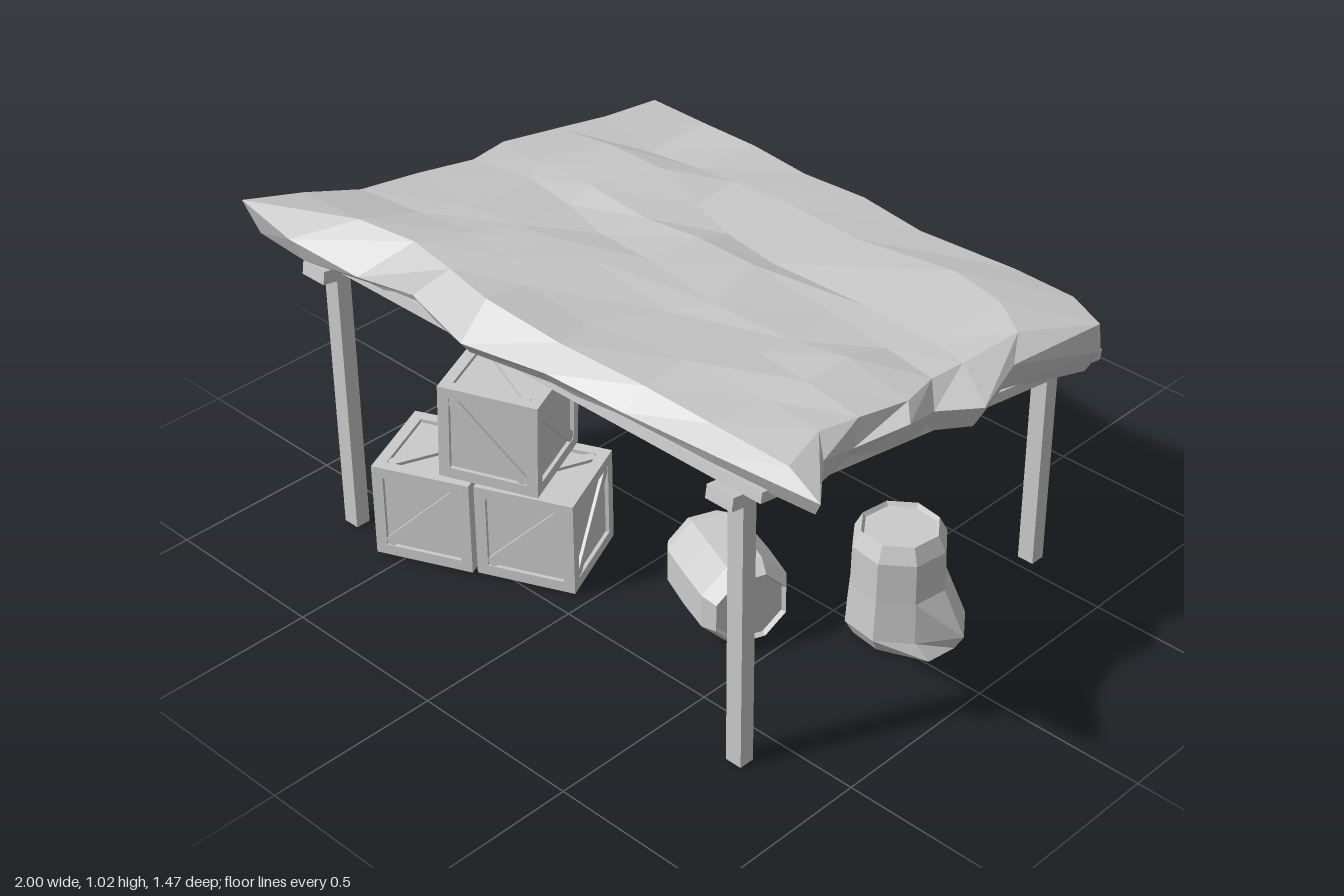
import * as THREE from 'three';

const mat = new THREE.MeshStandardMaterial({ color: 0xcccccc, flatShading: true });
const clothMat = new THREE.MeshStandardMaterial({ color: 0xcccccc, flatShading: true, side: THREE.DoubleSide });

const SLOPE = 0.163; // roof rises towards the front
const roofY = (z) => 0.74 + SLOPE * z;

function mesh(name, geometry, x = 0, y = 0, z = 0, material = mat) {
  const m = new THREE.Mesh(geometry, material);
  m.name = name;
  m.position.set(x, y, z);
  return m;
}
const box = (name, w, h, d, x, y, z) => mesh(name, new THREE.BoxGeometry(w, h, d), x, y, z);

// Cloth rims [x, z, y], counter-clockwise from the front left corner:
// 8 steps along front, 7 right, 8 back, 7 left
const NX = 8, NZ = 7;
const hem = [
  [-1, .70, .955], [-.77, .73, .94], [-.55, .69, .90], [-.38, .65, .90], [-.11, .73, .91], [.15, .69, .92], [.38, .66, .90], [.68, .66, .92],
  [1, .645, .93], [.88, .50, .92], [.85, .36, .87], [.89, .20, .88], [.85, .06, .83], [.92, -.05, .82], [.85, -.25, .82],
  [.88, -.58, .72], [.76, -.65, .73], [.55, -.68, .70], [.20, -.65, .71], [0, -.685, .70], [-.22, -.70, .72], [-.40, -.70, .70], [-.65, -.735, .71],
  [-.86, -.69, .72], [-.84, -.45, .79], [-.88, -.25, .80], [-.89, -.08, .82], [-.83, .05, .86], [-.85, .25, .87], [-.88, .50, .92],
];
const crest = [
  [-.82, .63, 1.02], [-.65, .59, .99], [-.48, .55, .975], [-.30, .59, .985], [-.11, .64, 1], [.15, .64, .985], [.40, .60, .955], [.62, .60, .95],
  [.88, .62, .965], [.82, .45, .95], [.83, .32, .93], [.84, .15, .90], [.79, 0, .87], [.79, -.12, .86], [.79, -.34, .85],
  [.87, -.58, .80], [.74, -.64, .80], [.53, -.66, .79], [.22, -.64, .79], [0, -.66, .80], [-.22, -.66, .79], [-.42, -.67, .80], [-.62, -.67, .80],
  [-.81, -.66, .81], [-.80, -.45, .84], [-.82, -.28, .86], [-.83, -.08, .89], [-.80, .06, .90], [-.81, .25, .93], [-.81, .45, .96],
];

function createCloth() {
  const positions = [];
  const v = ([x, z, y]) => new THREE.Vector3(x, y, z);
  const quad = (a, b, c, d) => {
    for (const p of [a, b, c, a, c, d]) positions.push(p.x, p.y, p.z);
  };
  const top = crest.map(v), mid = hem.map(v);
  const low = mid.map((p, k) => new THREE.Vector3(p.x * .965, roofY(p.z * .965) + .008 + .012 * (k % 3), p.z * .965));
  const n = top.length;

  // draped sides: lower edge to hem to crest
  for (let k = 0; k < n; k++) {
    const m = (k + 1) % n;
    quad(low[k], low[m], mid[m], mid[k]);
    quad(mid[k], mid[m], top[m], top[k]);
  }

  // top sheet: patch blended from the four crest edges, with diagonal folds
  const front = (i) => top[i], right = (j) => top[NX + j];
  const back = (i) => top[2 * NX + NZ - i], left = (j) => top[(n - j) % n];
  const point = (i, j) => {
    const s = i / NX, t = j / NZ;
    const p = new THREE.Vector3()
      .addScaledVector(front(i), 1 - t).addScaledVector(back(i), t)
      .addScaledVector(left(j), 1 - s).addScaledVector(right(j), s)
      .addScaledVector(front(0), -(1 - s) * (1 - t)).addScaledVector(front(NX), -s * (1 - t))
      .addScaledVector(back(0), -(1 - s) * t).addScaledVector(back(NX), -s * t);
    if (i > 0 && i < NX && j > 0 && j < NZ) {
      p.y += .013 * Math.sin(8 * (p.x + p.z) + 1) + .009 * Math.sin(37 * i + 23 * j);
      p.x += .035 * Math.sin(5 * i + 11 * j);
      p.z += .035 * Math.cos(7 * i + 3 * j);
    }
    return p;
  };
  for (let i = 0; i < NX; i++) {
    for (let j = 0; j < NZ; j++) {
      const a = point(i, j), b = point(i + 1, j), c = point(i + 1, j + 1), d = point(i, j + 1);
      quad(a, b, c, d);
    }
  }
  const g = new THREE.BufferGeometry();
  g.setAttribute('position', new THREE.Float32BufferAttribute(positions, 3));
  g.computeVertexNormals();
  return mesh('clothRoof', g, 0, 0, 0, clothMat);
}

function createFrame() {
  const frame = new THREE.Group();
  frame.name = 'frame';
  for (const x of [-.73, .73]) {
    frame.add(box('frontPost', .05, .82, .045, x, .41, .613));
    frame.add(box('backPost', .05, .63, .045, x, .315, -.553));
    const rail = box('roofRail', .085, .038, 1.35, x, roofY(.025) - .014, .025);
    rail.rotation.x = -Math.atan(SLOPE);
    frame.add(rail);
  }
  const panel = box('roofPanel', 1.66, .03, 1.33, 0, roofY(0) + .022, 0);
  panel.rotation.x = -Math.atan(SLOPE);
  frame.add(panel);
  return frame;
}

// Crate: recessed core, edge boards and a diagonal brace on each face
function createCrate(name, lean) {
  const S = .285, B = .032, R = .011;
  const crate = new THREE.Group();
  crate.name = name;
  crate.add(box('core', S - 2 * R, S - 2 * R, S - 2 * R, 0, 0, 0));
  const e = (S - B) / 2;
  for (const a of [-e, e]) {
    for (const b of [-e, e]) {
      crate.add(box('edgeBoard', S, B, B, 0, a, b));
      crate.add(box('edgeBoard', B, S - 2 * B, B, a, 0, b));
      crate.add(box('edgeBoard', B, B, S - 2 * B, a, b, 0));
    }
  }
  const turns = [[0, 0], [0, 1], [0, 2], [0, 3], [1, 0], [-1, 0]];
  turns.forEach(([rx, ry], k) => {
    const face = new THREE.Group();
    face.name = 'bracedFace';
    face.rotation.set(rx * Math.PI / 2, ry * Math.PI / 2, 0);
    const brace = box('brace', .30, .03, R, 0, 0, S / 2 - R / 2 - .002);
    brace.rotation.z = (k === 3 ? 1 : lean) * Math.PI / 4;
    face.add(brace);
    crate.add(face);
  });
  return crate;
}

// Eight-sided barrel, centred on its own middle
function createBarrelGeometry(height, turn) {
  const h = height / 2;
  const profile = [[0, -h + .012], [.1, -h + .012], [.108, -h], [.131, -h + .045], [.134, 0],
    [.131, h - .045], [.108, h], [.1, h - .012], [0, h - .012]].map(([r, y]) => new THREE.Vector2(r, y));
  return new THREE.LatheGeometry(profile, 8).rotateY(turn);
}

function createStandingBarrel() {
  const g = createBarrelGeometry(.33, THREE.MathUtils.degToRad(15));
  const p = g.attributes.position;
  // flared foot on one side
  for (let i = 0; i < p.count; i++) {
    const x = p.getX(i), z = p.getZ(i);
    if (p.getY(i) < -.1) {
      const out = Math.hypot(x, z) > .105;
      if (out) {
        p.setX(i, x * 1.1 + (x > .03 && z < .06 ? .06 : 0));
        p.setZ(i, z * 1.1);
      }
    }
  }
  return mesh('standingBarrel', g, .66, .165, -.068);
}

export function createModel() {
  const model = new THREE.Group();
  model.name = 'marketShelter';
  model.add(createCloth(), createFrame());

  // stack of crates
  const crates = [
    ['leftCrate', -.497, .152, .49, 1, 0],
    ['rightCrate', -.232, .148, .36, 1, 0],
    ['topCrate', -.322, .44, .395, -1, -.03],
  ];
  for (const [name, x, y, z, lean, roll] of crates) {
    const crate = createCrate(name, lean);
    crate.position.set(x, y, z);
    crate.rotation.set(0, THREE.MathUtils.degToRad(24), roll);
    model.add(crate);
  }

  // barrels
  const lying = mesh('lyingBarrel', createBarrelGeometry(.31, Math.PI / 8), .318, .142, .225);
  lying.rotation.set(0, -THREE.MathUtils.degToRad(22), -Math.PI / 2);
  model.add(lying, createStandingBarrel());
  return model;
}
